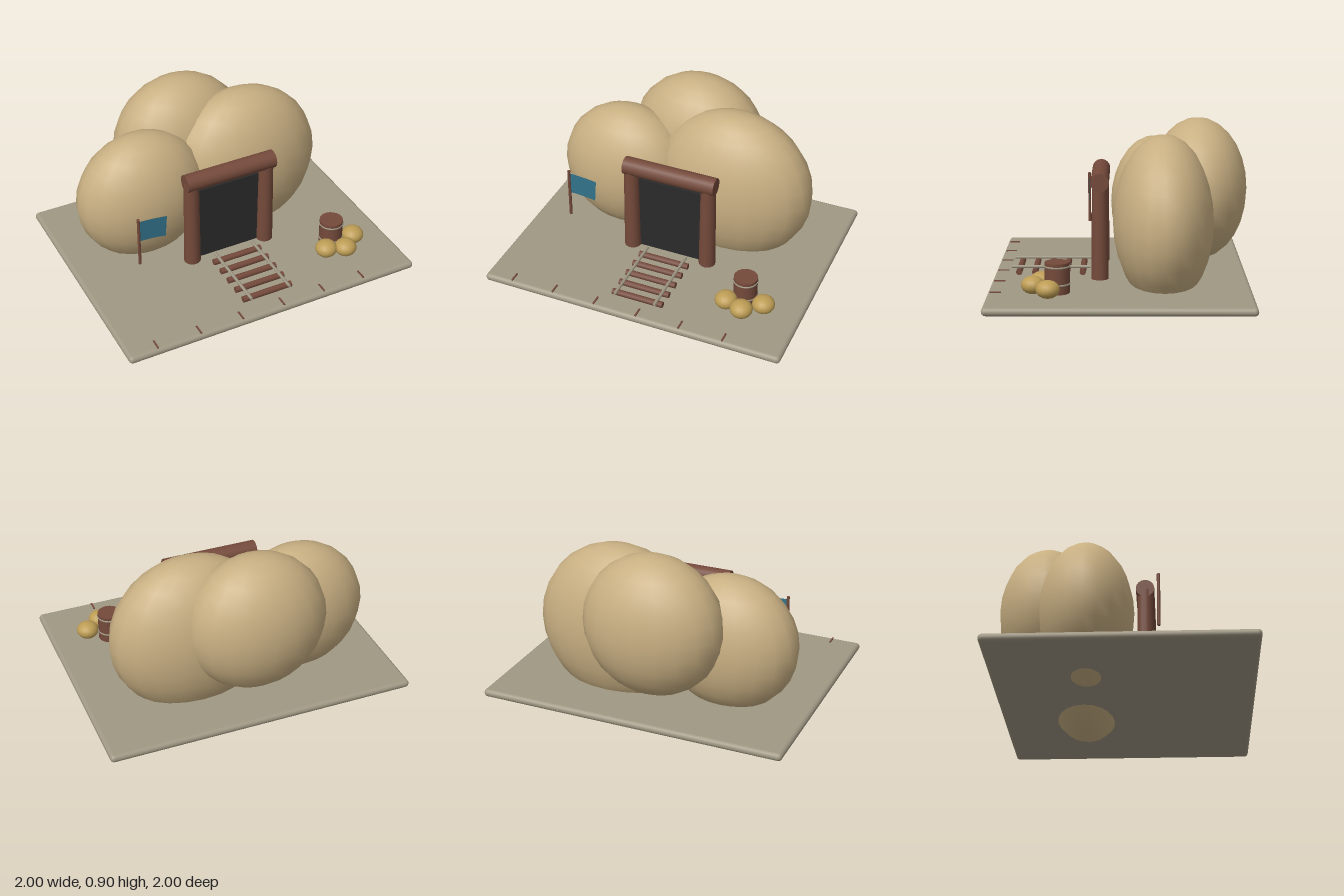
import * as THREE from 'three';
import { RoundedBoxGeometry } from 'three/addons/geometries/RoundedBoxGeometry.js';

const mat = (name, color, extra = {}) => new THREE.MeshStandardMaterial({ name, color, ...extra });

export function createModel() {
  const sand = mat('sandstone', 0xc8af82);
  const slate = mat('greyStone', 0xa09884);
  const wood = mat('brownWood', 0x754a3b);
  const dark = mat('darkDoor', 0x2b2b2b);
  const gold = mat('goldenFruit', 0xbd9d55);
  const teal = mat('tealCloth', 0x327389, { side: THREE.DoubleSide });

  const model = new THREE.Group();
  model.name = 'boulderHut';
  // The whole scene stands diagonally: its front faces between +x and +z
  const scene = new THREE.Group();
  scene.name = 'hutScene';
  scene.rotation.y = Math.PI / 4;
  model.add(scene);

  const add = (name, geometry, material, x, y, z, parent = scene) => {
    const mesh = new THREE.Mesh(geometry, material);
    mesh.name = name;
    mesh.position.set(x, y, z);
    parent.add(mesh);
    return mesh;
  };
  const log = (r, length, axis = 'y', sides = 16, rTop = r) => {
    const g = new THREE.CylinderGeometry(rTop, r, length, sides);
    if (axis === 'x') g.rotateZ(Math.PI / 2);
    if (axis === 'z') g.rotateX(Math.PI / 2);
    return g;
  };
  const group = (name) => {
    const g = new THREE.Group();
    g.name = name;
    scene.add(g);
    return g;
  };

  // Ground slab with rounded edges
  add('groundSlab', new RoundedBoxGeometry(1.58, 0.04, 1.27, 3, 0.0199), slate, 0, 0.1, 0);

  // Three flattened boulders: position, then radii
  const boulders = group('boulders');
  [
    [0.226, 0.421, -0.212, 0.42, 0.421, 0.25],
    [-0.354, 0.41, -0.177, 0.35, 0.35, 0.23],
    [-0.04, 0.535, -0.39, 0.36, 0.36, 0.25],
  ].forEach(([x, y, z, rx, ry, rz]) => {
    const g = new THREE.SphereGeometry(1, 20, 14).scale(rx, ry, rz);
    add('boulder', g, sand, x, y, z, boulders);
  });

  // Doorway: two posts, a lintel log and a dark door
  const doorway = group('doorway');
  for (const side of [-1, 1]) {
    add('doorPost', log(0.043, 0.48, 'y', 16, 0.038), wood, side * 0.208, 0.36, 0.1025, doorway);
  }
  add('lintel', log(0.046, 0.49, 'x'), wood, 0.003, 0.607, 0.1025, doorway);
  add('door', new THREE.BoxGeometry(0.38, 0.415, 0.025), dark, 0, 0.3275, 0.085, doorway);

  // Walkway: five rungs under two grey rails
  const walkway = group('walkway');
  for (let i = 0; i < 5; i++) {
    add('walkwayRung', log(0.016, 0.27, 'x', 10), wood, 0.004, 0.135, 0.19 + i * 0.08, walkway);
  }
  for (const x of [-0.102, 0.11]) {
    add('walkwayRail', log(0.008, 0.395, 'z', 8), slate, x, 0.157, 0.35, walkway);
  }

  // Barrel with two hoops
  const barrel = group('barrel');
  add('barrelBody', log(0.06, 0.15, 'y', 18), wood, 0.491, 0.195, 0.3, barrel);
  for (const y of [0.165, 0.25]) {
    const hoop = new THREE.TorusGeometry(0.059, 0.005, 6, 20).rotateX(Math.PI / 2);
    add('barrelHoop', hoop, slate, 0.491, y, 0.3, barrel);
  }

  // Round fruit beside the barrel
  const fruit = group('fruit');
  for (const [x, z] of [[0.601, 0.339], [0.513, 0.414], [0.42, 0.378]]) {
    const g = new THREE.SphereGeometry(0.057, 16, 12).scale(1, 0.76, 1);
    add('fruitBall', g, gold, x, 0.163, z, fruit);
  }

  // Flag on its pole
  const flag = group('flag');
  add('flagPole', log(0.008, 0.27, 'y', 8), wood, -0.527, 0.4, 0.173, flag);
  const cloth = new THREE.Shape();
  cloth.moveTo(0, 0.52);
  cloth.quadraticCurveTo(0.08, 0.518, 0.147, 0.506);
  cloth.lineTo(0.138, 0.388);
  cloth.quadraticCurveTo(0.07, 0.402, 0, 0.402);
  add('flagCloth', new THREE.ShapeGeometry(cloth), teal, -0.522, 0, 0.173, flag);

  // Small pegs along the front edge of the slab
  const pegs = group('edgePegs');
  for (let i = 0; i < 6; i++) {
    add('edgePeg', new THREE.BoxGeometry(0.008, 0.01, 0.055), wood, -0.64 + i * 0.227, 0.12, 0.595, pegs);
  }

  return model;
}
